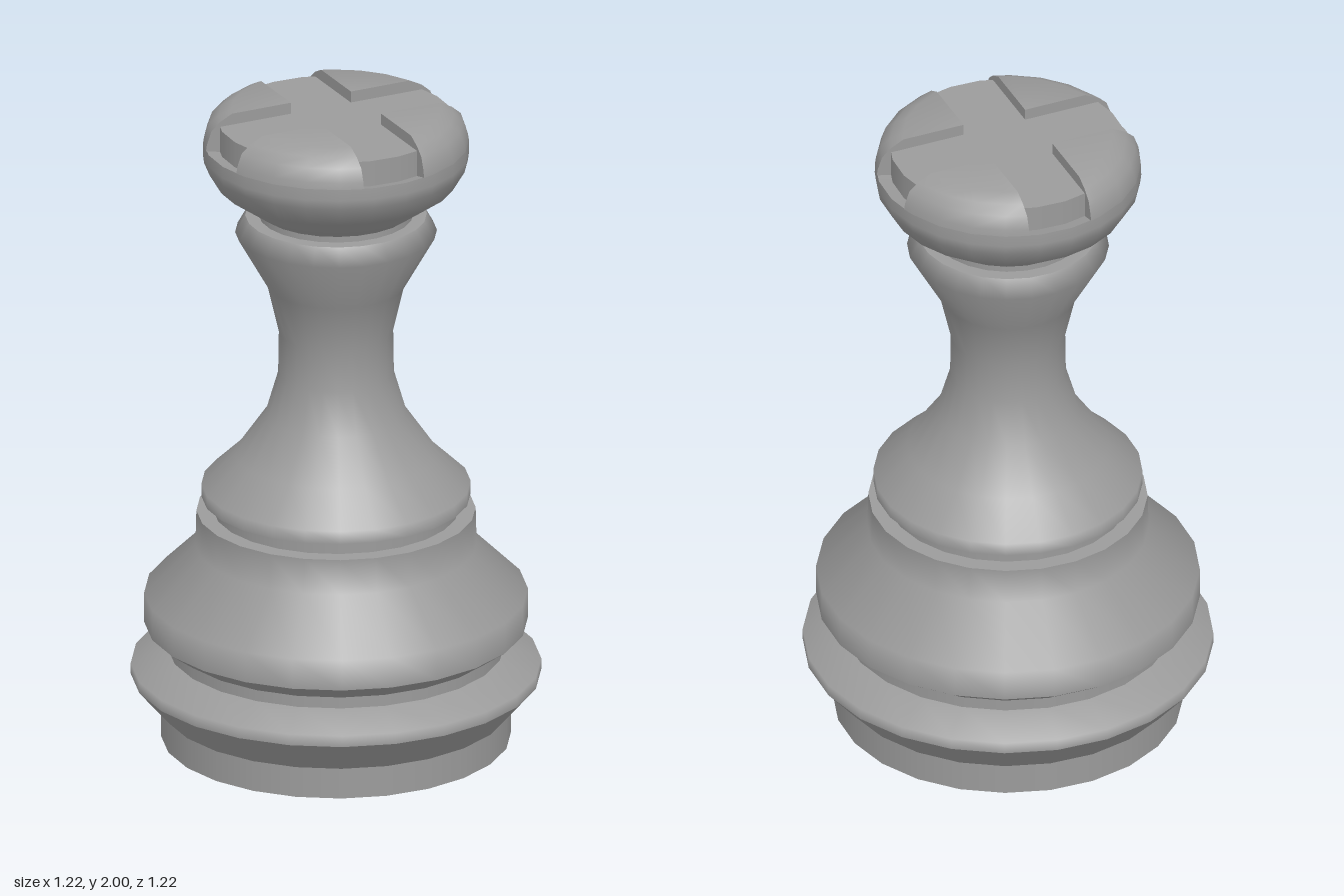
import * as THREE from 'three';
import { toCreasedNormals } from 'three/addons/utils/BufferGeometryUtils.js';

const material = new THREE.MeshStandardMaterial({ color: 0x9b9b9b });
const SIDES = 24;
const STEP = 2 * Math.PI / SIDES;
const START = THREE.MathUtils.degToRad(5);

// Each run is a smooth stretch of profile [radius, y]; edges between runs stay sharp.
function turned(name, runs) {
  const group = new THREE.Group();
  group.name = name;
  runs.forEach((run, i) => {
    const points = run.map(([r, y]) => new THREE.Vector2(r, y));
    const mesh = new THREE.Mesh(new THREE.LatheGeometry(points, SIDES, START), material);
    mesh.name = `${name}Band${i + 1}`;
    group.add(mesh);
  });
  return group;
}

// Quarter of the crown: a loft of wedge sections [radius, y, y at the inner corner],
// whose outer arcs share the facets of the turned head.
function battlementGeometry() {
  const inset = 0.1;
  const levels = [[0.395, 1.895, 1.8], [0.392, 1.915, 1.915], [0.378, 1.955, 1.955],
    [0.35, 1.98, 1.98], [0.312, 2, 2]];
  const loops = levels.map(([r, y, cornerY]) => {
    const edge = Math.asin(inset / r);
    const angles = [edge, ...[1, 2, 3, 4].map((k) => START + k * STEP), Math.PI / 2 - edge];
    return [[inset, cornerY, inset], ...angles.map((a) => [r * Math.sin(a), y, r * Math.cos(a)])];
  });
  const positions = [];
  const tri = (a, b, c) => positions.push(...a, ...b, ...c);
  const n = loops[0].length;
  for (let j = 0; j < loops.length - 1; j++) {
    for (let i = 0; i < n; i++) {
      const k = (i + 1) % n;
      tri(loops[j][i], loops[j][k], loops[j + 1][k]);
      tri(loops[j][i], loops[j + 1][k], loops[j + 1][i]);
    }
  }
  const top = loops[loops.length - 1];
  for (let i = 1; i < n - 1; i++) tri(top[0], top[i], top[i + 1]);
  const geometry = new THREE.BufferGeometry();
  geometry.setAttribute('position', new THREE.Float32BufferAttribute(positions, 3));
  return toCreasedNormals(geometry, 0.9);
}

export function createModel() {
  const model = new THREE.Group();
  model.name = 'chessRook';

  // Foot with its flared rim
  model.add(turned('foot', [
    [[0, 0], [0.52, 0]],
    [[0.52, 0], [0.52, 0.095]],
    [[0.52, 0.095], [0.61, 0.2]],
    [[0.61, 0.2], [0.61, 0.235], [0.5, 0.28]],
    [[0.5, 0.28], [0.5, 0.315]],
  ]));

  // Bulging base and the groove above it
  model.add(turned('base', [
    [[0.5, 0.315], [0.57, 0.365]],
    [[0.57, 0.365], [0.57, 0.46], [0.418, 0.61], [0.415, 0.72]],
    [[0.415, 0.72], [0.365, 0.72]],
    [[0.365, 0.72], [0.365, 0.765]],
  ]));

  // Waisted stem with a collar
  model.add(turned('stem', [
    [[0.365, 0.765], [0.4, 0.765]],
    [[0.4, 0.765], [0.4, 0.805], [0.3, 0.9], [0.21, 1.03], [0.172, 1.16],
      [0.17, 1.29], [0.205, 1.44], [0.3, 1.608], [0.27, 1.662]],
    [[0.27, 1.662], [0.23, 1.662]],
    [[0.23, 1.662], [0.23, 1.68]],
  ]));

  // Head with the ledge, step and floor of the crossing slots
  model.add(turned('head', [
    [[0.23, 1.68], [0.355, 1.768], [0.392, 1.83], [0.396, 1.86], [0.395, 1.895]],
    [[0.395, 1.895], [0.353, 1.885]],
    [[0.353, 1.885], [0.353, 1.965]],
    [[0.353, 1.965], [0, 1.965]],
  ]));

  // Four battlements around the cross
  const geometry = battlementGeometry();
  for (let i = 0; i < 4; i++) {
    const battlement = new THREE.Mesh(geometry, material);
    battlement.name = `battlement${i + 1}`;
    battlement.rotation.y = i * Math.PI / 2;
    model.add(battlement);
  }
  return model;
}
